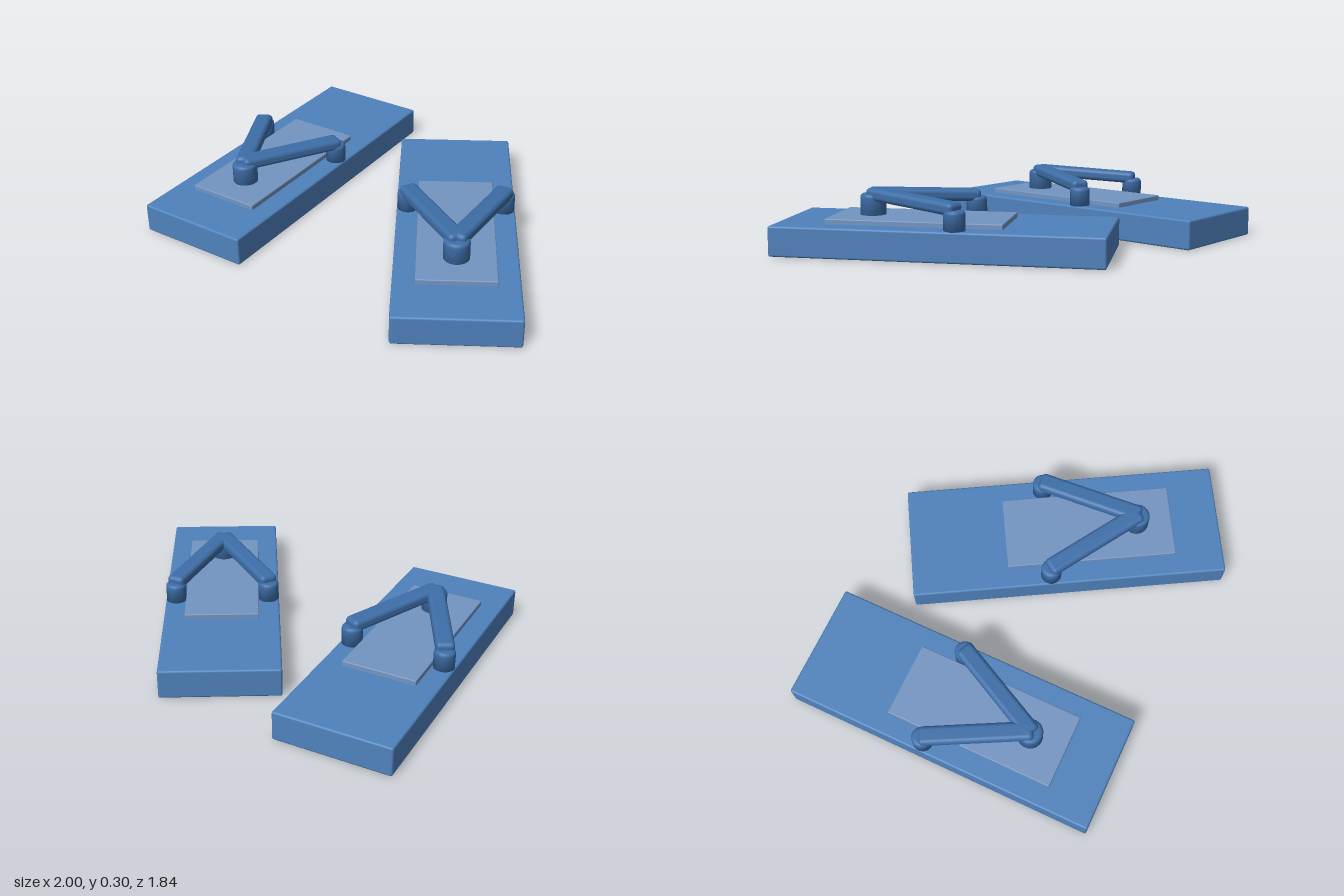
import * as THREE from 'three';
import { RoundedBoxGeometry } from 'three/addons/geometries/RoundedBoxGeometry.js';

const soleMat = new THREE.MeshStandardMaterial({ color: 0x4f82bd });
const padMat = new THREE.MeshStandardMaterial({ color: 0x7495c2 });
const strapMat = new THREE.MeshStandardMaterial({ color: 0x3d6ea8 });

const SOLE_TOP = 0.146;

function add(parent, name, geometry, material, x, y, z) {
  const mesh = new THREE.Mesh(geometry, material);
  mesh.name = name;
  mesh.position.set(x, y, z);
  parent.add(mesh);
  return mesh;
}

// Upright peg with a softly rounded top edge
function pegGeometry(radius, height, bevel = 0.018) {
  const profile = [new THREE.Vector2(0, 0), new THREE.Vector2(radius, 0)];
  for (let i = 0; i <= 4; i++) {
    const a = (i / 4) * Math.PI / 2;
    profile.push(new THREE.Vector2(
      radius - bevel + bevel * Math.cos(a), height - bevel + bevel * Math.sin(a)));
  }
  profile.push(new THREE.Vector2(0, height));
  return new THREE.LatheGeometry(profile, 32);
}

// Rounded bar laid between two points, running slightly past both
function addStrap(parent, name, from, to) {
  const length = from.distanceTo(to) + 0.03;
  const mid = from.clone().add(to).multiplyScalar(0.5);
  const strap = add(parent, name, new RoundedBoxGeometry(0.09, 0.06, length, 4, 0.022),
    strapMat, mid.x, mid.y, mid.z);
  strap.lookAt(to);
}

function createSandal(name) {
  const sandal = new THREE.Group();
  sandal.name = name;

  // Sole and raised foot pad
  add(sandal, 'sole', new RoundedBoxGeometry(0.578, SOLE_TOP, 1.588, 3, 0.01),
    soleMat, 0, SOLE_TOP / 2, 0);
  add(sandal, 'footPad', new RoundedBoxGeometry(0.37, 0.04, 0.857, 2, 0.005),
    padMat, 0, 0.151, 0.122);

  // Toe post in front, one anchor and strap to each side
  add(sandal, 'toePost', pegGeometry(0.062, 0.132), strapMat, 0, SOLE_TOP - 0.005, 0.367);
  for (const [side, s] of [['left', 1], ['right', -1]]) {
    add(sandal, side + 'Anchor', pegGeometry(0.051, 0.1), strapMat,
      s * 0.235, SOLE_TOP - 0.005, -0.092);
    addStrap(sandal, side + 'Strap',
      new THREE.Vector3(s * 0.235, 0.245, -0.092), new THREE.Vector3(0, 0.272, 0.367));
  }
  return sandal;
}

export function createModel() {
  const model = new THREE.Group();
  model.name = 'sandals';

  const right = createSandal('rightSandal');
  right.position.set(-0.63, 0, -0.105);
  right.rotation.y = -0.105;

  const left = createSandal('leftSandal');
  left.position.set(0.413, 0, 0.078);
  left.rotation.y = 0.419;

  model.add(right, left);
  return model;
}
